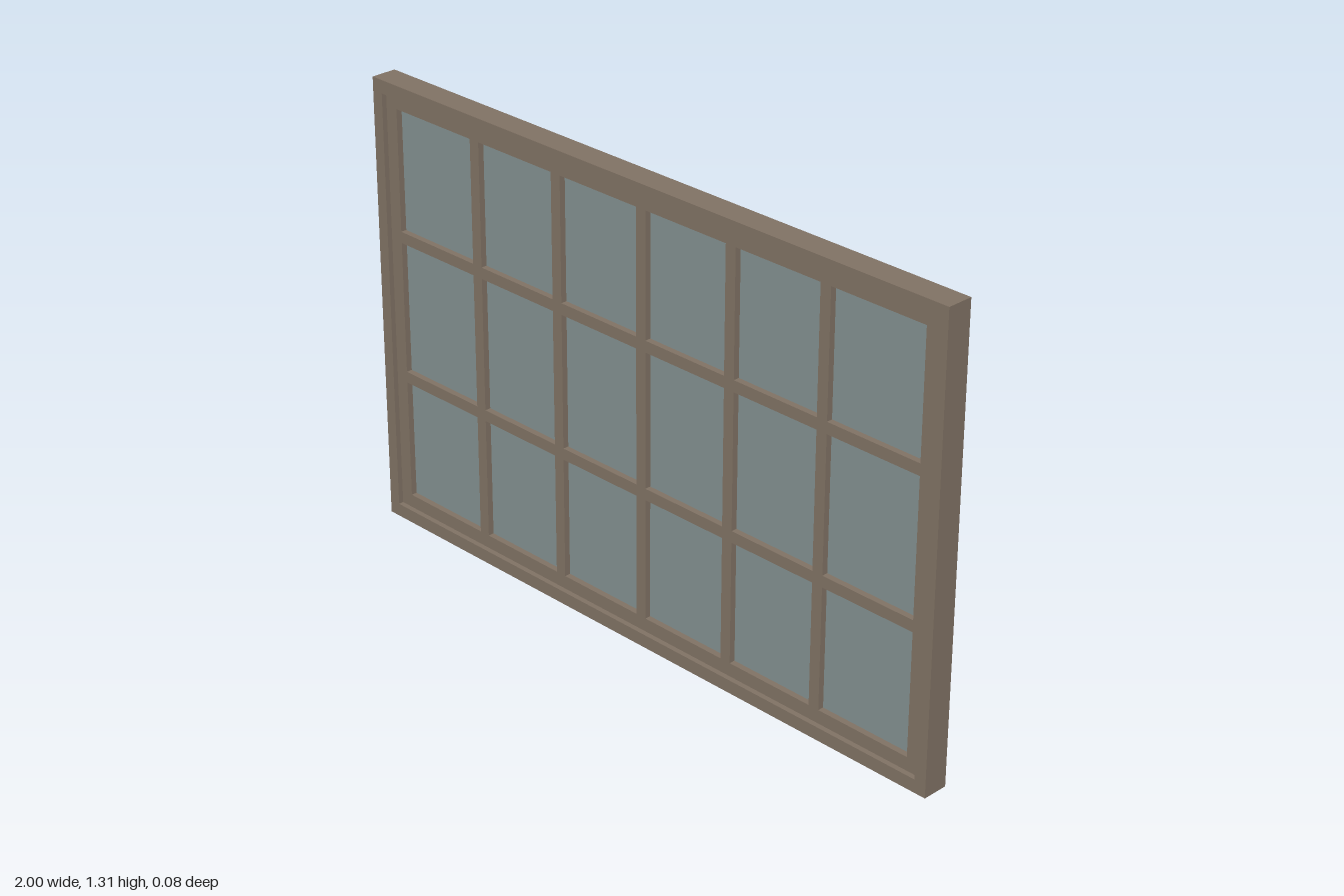
import * as THREE from 'three';

const HEIGHT = 1.31;
const wood = new THREE.MeshStandardMaterial({ color: 0x7f7163 });
const glass = new THREE.MeshStandardMaterial({ color: 0x818e8e });

// Rectangle traced as a Shape or Path
function rect(target, x0, y0, x1, y1) {
  target.moveTo(x0, y0);
  target.lineTo(x1, y0);
  target.lineTo(x1, y1);
  target.lineTo(x0, y1);
  target.closePath();
  return target;
}

// Flat panel with rectangular openings, centred in depth
function panel(name, outer, openings, depth) {
  const shape = rect(new THREE.Shape(), ...outer);
  for (const o of openings) shape.holes.push(rect(new THREE.Path(), ...o));
  const geometry = new THREE.ExtrudeGeometry(shape, { depth, bevelEnabled: false });
  geometry.translate(0, 0, -depth / 2);
  const mesh = new THREE.Mesh(geometry, wood);
  mesh.name = name;
  return mesh;
}

export function createModel() {
  const model = new THREE.Group();
  model.name = 'window';

  // Outer frame
  const frameInner = [-0.965, 0.038, 0.965, HEIGHT - 0.038];
  model.add(panel('outerFrame', [-1, 0, 1, HEIGHT], [frameInner], 0.075));

  // Recessed sash with its glazing bars: 6 columns by 3 rows of openings
  const bar = 0.0165;
  const xs = [-0.925, -0.616, -0.308, 0, 0.308, 0.616, 0.925];
  const ys = [0.077, 0.446, 0.866, HEIGHT - 0.075];
  const low = (list, i) => list[i] + (i > 0 ? bar : 0);
  const high = (list, i) => list[i + 1] - (i < list.length - 2 ? bar : 0);
  const openings = [];
  for (let r = 0; r < ys.length - 1; r++) {
    for (let c = 0; c < xs.length - 1; c++) {
      openings.push([low(xs, c), low(ys, r), high(xs, c), high(ys, r)]);
    }
  }
  model.add(panel('sashAndGlazingBars', frameInner, openings, 0.045));

  // Glass panes, one per opening
  const panes = new THREE.Group();
  panes.name = 'glassPanes';
  for (const [x0, y0, x1, y1] of openings) {
    const pane = new THREE.Mesh(new THREE.BoxGeometry(x1 - x0, y1 - y0, 0.01), glass);
    pane.position.set((x0 + x1) / 2, (y0 + y1) / 2, 0);
    pane.name = 'glassPane';
    panes.add(pane);
  }
  model.add(panes);
  return model;
}
